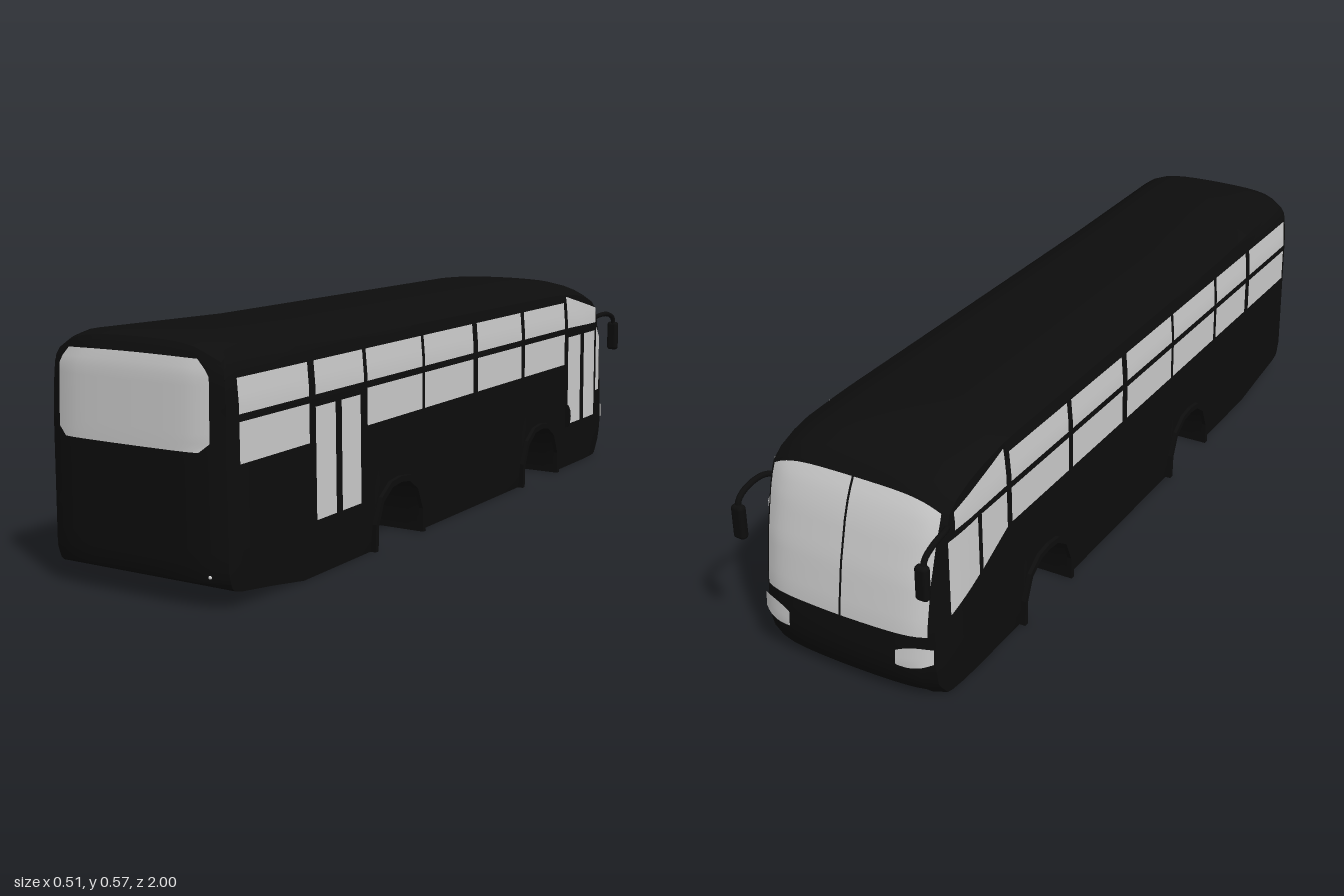
import * as THREE from 'three';
import { toCreasedNormals } from 'three/addons/utils/BufferGeometryUtils.js';
import { RoundedBoxGeometry } from 'three/addons/geometries/RoundedBoxGeometry.js';

const paint = new THREE.MeshStandardMaterial({ color: 0x0d0d0d, side: THREE.DoubleSide });
const glass = new THREE.MeshStandardMaterial({ color: 0xcccccc, side: THREE.DoubleSide });
const lerp = THREE.MathUtils.lerp;

// piecewise linear lookup in a list of [key, value]
function table(rows, k) {
  if (k <= rows[0][0]) return rows[0][1];
  for (let i = 1; i < rows.length; i++) {
    const [a, p] = rows[i - 1], [b, q] = rows[i];
    if (k <= b) return lerp(p, q, (k - a) / (b - a));
  }
  return rows[rows.length - 1][1];
}

// wheel arch outline: offset from the axle, height
const ARCH = [[-0.106, 0], [-0.104, 0.06], [-0.08, 0.115], [-0.04, 0.142], [0, 0.147],
  [0.04, 0.142], [0.08, 0.115], [0.104, 0.06], [0.106, 0]];
const AXLES = [-0.478, 0.302];
const archAt = (c) => ARCH.map(([d, y]) => [c + d, y]);

// stations along the body with the height of the lower edge
const STATIONS = [[-0.97, 0.03], [-0.945, 0.015], [-0.91, 0.003], [-0.88, 0], [-0.84, 0], [-0.79, 0], [-0.74, 0], [-0.65, 0],
  ...archAt(AXLES[0]), [-0.2, 0], [0, 0], [0.15, 0], ...archAt(AXLES[1]),
  [0.5, 0], [0.7, 0], [0.82, 0.02], [0.93, 0.036], [0.955, 0.042], [0.975, 0.05], [0.99, 0.058], [1, 0.07]];

const roofY = (z) => table([[-0.88, 0.49], [-0.84, 0.512], [-0.79, 0.53], [-0.74, 0.54], [-0.62, 0.55],
  [0.5, 0.556], [0.93, 0.57], [0.97, 0.563], [1, 0.545]], z);
const crown = (u) => 0.01 * u ** 2 + 0.03 * u ** 6;

// half width of the body
function halfWidth(y, z) {
  const w = table([[0, 0.234], [0.08, 0.24], [0.43, 0.237], [0.5, 0.231], [0.53, 0.215]], y);
  const nose = Math.max(0, (-0.8 - z) / 0.17), tail = Math.max(0, (z - 0.93) / 0.07);
  return w - 0.022 * nose ** 2 - 0.014 * tail ** 2;
}

// nose and tail surfaces; u runs from -1 to 1 across the width
const noseZ = (u, y) => table([[0, -0.925], [0.04, -0.957], [0.1, -0.969], [0.2, -0.961], [0.3, -0.945],
  [0.4, -0.92], [0.45, -0.902], [0.49, -0.88]], y) + 0.012 * u ** 2 + 0.02 * u ** 8;
const tailZ = (u, y) => table([[0.04, 0.985], [0.08, 0.999], [0.35, 1], [0.5, 0.995], [0.54, 0.985], [0.57, 0.968]], y)
  - 0.005 * u ** 2 - 0.02 * u ** 8;

function add(parent, name, geometry, material = paint) {
  const mesh = new THREE.Mesh(geometry, material);
  mesh.name = name;
  parent.add(mesh);
  return mesh;
}

// curved sheet: fn maps s, t in 0..1 to a point
function patch(parent, name, nu, nv, fn, material = glass) {
  const g = new THREE.PlaneGeometry(1, 1, nu, nv), p = g.attributes.position;
  for (let i = 0; i < p.count; i++) p.setXYZ(i, ...fn(p.getX(i) + 0.5, p.getY(i) + 0.5));
  g.computeVertexNormals();
  return add(parent, name, g, material);
}

// side pane from z a to z b, with lower and upper edge heights at either end
function sidePane(parent, name, side, a, b, lowA, highA, lowB = lowA, highB = highA) {
  patch(parent, name, 4, 4, (s, t) => {
    const z = lerp(a, b, s), y = lerp(lerp(lowA, lowB, s), lerp(highA, highB, s), t);
    return [side * (halfWidth(y, z) + 0.004), y, z];
  });
}

function bodyGeometry() {
  const n = STATIONS.length - 1;
  const g = new THREE.BoxGeometry(2, 1, 1, 16, 16, n), p = g.attributes.position;
  for (let i = 0; i < p.count; i++) {
    const u = p.getX(i), v = p.getY(i) + 0.5;
    const [zs, low] = STATIONS[Math.round((p.getZ(i) + 0.5) * n)];
    const y = lerp(low, roofY(zs) - crown(u), v);
    const z = Math.min(Math.max(zs, noseZ(u, y)), tailZ(u, y));
    p.setXYZ(i, u * halfWidth(y, z), y, z);
  }
  return toCreasedNormals(g, 0.6);
}

// lip around a wheel opening
function flareGeometry() {
  const outer = ARCH.map(([d, y]) => new THREE.Vector2(d * 1.12, y * 1.1));
  const inner = ARCH.map(([d, y]) => new THREE.Vector2(d, y)).reverse();
  const g = new THREE.ExtrudeGeometry(new THREE.Shape([...outer, ...inner]), {
    depth: 0.016, bevelEnabled: false,
  });
  return g.translate(0, 0, -0.008).rotateY(Math.PI / 2);
}

export function createModel() {
  const bus = new THREE.Group();
  bus.name = 'bus';
  add(bus, 'body', bodyGeometry());

  // windows in two rows on both sides
  const bays = [[0.685, 0.94], [0.46, 0.66], [0.19, 0.445], [-0.075, 0.177], [-0.355, -0.1], [-0.635, -0.375]];
  for (const side of [-1, 1]) {
    bays.forEach(([a, b], i) => {
      sidePane(bus, 'upperWindow', side, a, b, 0.412, 0.487);
      if (side < 0 || i !== 1) sidePane(bus, 'lowerWindow', side, a, b, 0.308, 0.396);
    });
    sidePane(bus, 'frontUpperWindow', side, -0.86, -0.655, 0.408, 0.452, 0.412, 0.503);
  }

  // door leaves on the left side
  for (const [a, b] of [[0.58, 0.66], [0.475, 0.555], [-0.745, -0.66], [-0.85, -0.77]])
    sidePane(bus, 'doorGlass', 1, a, b, 0.13, 0.385);
  sidePane(bus, 'quarterGlass', 1, -0.897, -0.865, 0.2, 0.36, 0.2, 0.395);

  // driver's window on the other side, lower towards the nose
  sidePane(bus, 'driverWindow', -1, -0.76, -0.655, 0.255, 0.396, 0.305, 0.396);
  sidePane(bus, 'driverWindow', -1, -0.885, -0.775, 0.205, 0.39, 0.25, 0.396);

  // split windshield and headlights
  for (const side of [-1, 1]) {
    patch(bus, 'windshield', 12, 14, (s, t) => {
      const u = side * lerp(0.012, 0.95, s), y = lerp(0.175, 0.485 - crown(u), t), z = noseZ(u, y);
      return [u * halfWidth(y, z), y, z - 0.005];
    });
    patch(bus, 'headlight', 8, 4, (s, t) => {
      const u = side * lerp(0.64, 0.99, s), half = 0.012 + 0.014 * Math.sin(Math.PI * (0.15 + 0.7 * s));
      const y = 0.115 + 0.012 * s + half * (2 * t - 1), z = noseZ(u, y);
      return [u * (halfWidth(y, z) + 0.004), y, z - 0.006];
    });
  }

  // rear window with clipped corners
  patch(bus, 'rearWindow', 14, 10, (s, t) => {
    const y = lerp(0.335, 0.53, t);
    const w = table([[0, 0.178], [0.1, 0.202], [0.85, 0.2], [1, 0.172]], t);
    const x = (2 * s - 1) * w;
    return [x, y - (t > 0.9 ? 0.1 * x * x : 0), tailZ(x / 0.22, y) + 0.004];
  });

  // wheel arch lips
  const flare = flareGeometry();
  for (const side of [-1, 1])
    for (const z of AXLES) add(bus, 'wheelArchLip', flare, paint).position.set(side * 0.241, 0, z);

  // mirrors hanging forward from the windshield pillars
  for (const side of [-1, 1]) {
    const mirror = new THREE.Group();
    mirror.name = 'mirror';
    const path = [[0.222, 0.415, -0.86], [0.238, 0.426, -0.9], [0.242, 0.422, -0.95], [0.242, 0.405, -0.982], [0.242, 0.37, -0.988]];
    const curve = new THREE.CatmullRomCurve3(path.map(([x, y, z]) => new THREE.Vector3(side * x, y, z)));
    add(mirror, 'mirrorArm', new THREE.TubeGeometry(curve, 16, 0.007, 8));
    add(mirror, 'mirrorHead', new RoundedBoxGeometry(0.032, 0.085, 0.022, 3, 0.009)).position.set(side * 0.24, 0.353, -0.989);
    bus.add(mirror);
  }

  // small round mirror beside the front door and a rear marker lamp
  const disc = add(bus, 'doorMirror', new THREE.CylinderGeometry(0.035, 0.035, 0.006, 12).rotateX(Math.PI / 2));
  disc.scale.x = 0.4;
  disc.position.set(0.241, 0.155, -0.655);
  add(bus, 'rearMarkerLamp', new THREE.SphereGeometry(0.004, 10, 8), glass).position.set(0.195, 0.073, tailZ(0.87, 0.073));
  return bus;
}
